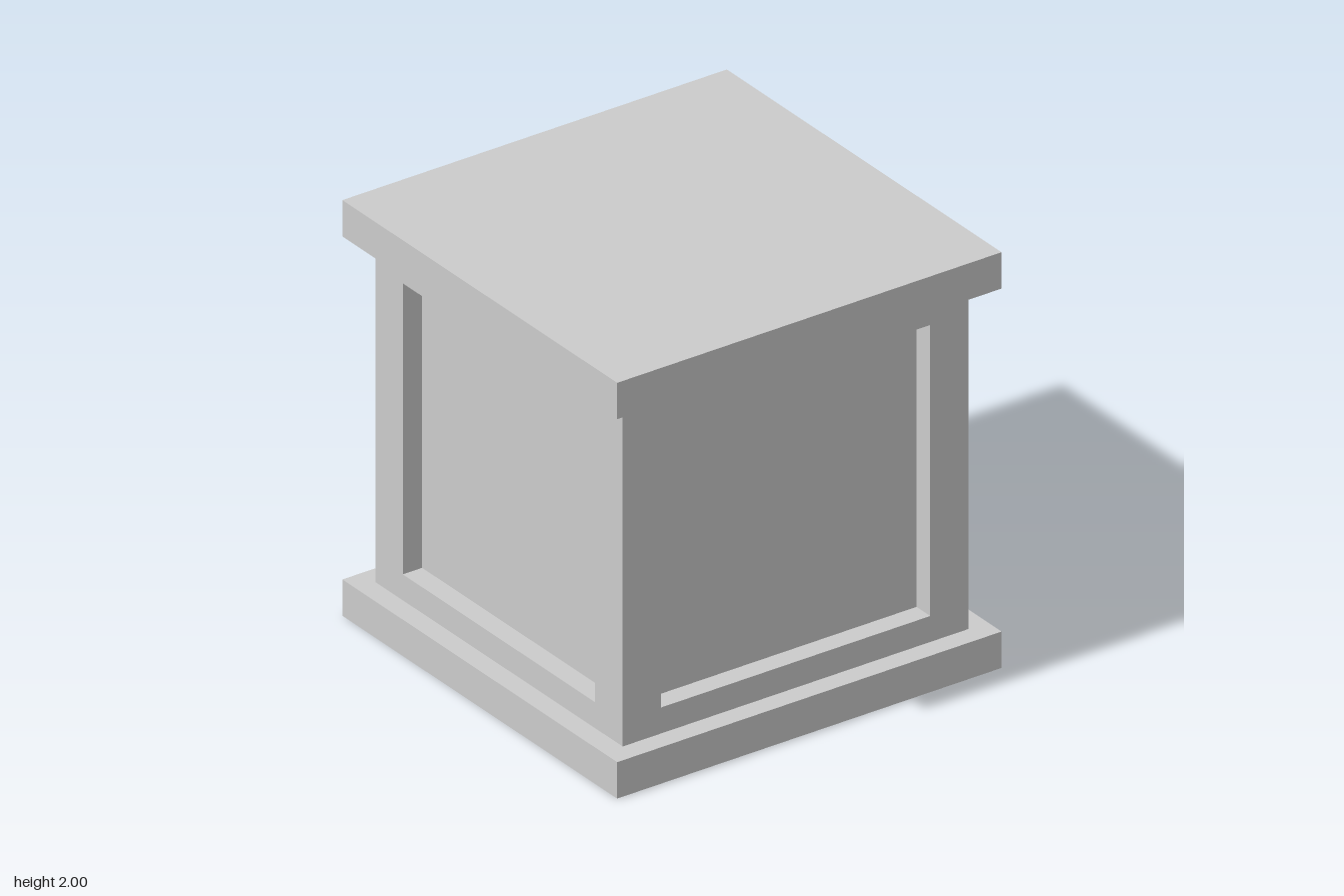
import * as THREE from 'three';

const material = new THREE.MeshStandardMaterial({ color: 0xcccccc });

const SLAB = 0.175;  // thickness of the base and top slabs
const HALF = 0.9;    // half width of the body
const OPEN = 0.7;    // half width of the recessed panels
const DEPTH = 0.1;   // depth of the recesses
const BODY = 2 - 2 * SLAB;

function addBox(parent, name, w, h, d, y) {
  const mesh = new THREE.Mesh(new THREE.BoxGeometry(w, h, d), material);
  mesh.name = name;
  mesh.position.y = y;
  parent.add(mesh);
}

// Rectangular frame with a square opening, mitred at its two sides so four meet cleanly
function frameGeometry() {
  const h = BODY / 2;
  const shape = new THREE.Shape([
    new THREE.Vector2(-HALF, -h), new THREE.Vector2(HALF, -h),
    new THREE.Vector2(HALF, h), new THREE.Vector2(-HALF, h),
  ]);
  shape.holes.push(new THREE.Path([
    new THREE.Vector2(-OPEN, -OPEN), new THREE.Vector2(-OPEN, OPEN),
    new THREE.Vector2(OPEN, OPEN), new THREE.Vector2(OPEN, -OPEN),
  ]));
  const geometry = new THREE.ExtrudeGeometry(shape, { depth: DEPTH, bevelEnabled: false });
  const p = geometry.attributes.position;
  for (let i = 0; i < p.count; i++) {
    const x = p.getX(i);
    if (Math.abs(x) > OPEN + 0.01 && p.getZ(i) < DEPTH / 2) {
      p.setX(i, Math.sign(x) * (HALF - DEPTH));
    }
  }
  geometry.translate(0, 0, HALF - DEPTH);
  geometry.computeVertexNormals();
  return geometry;
}

export function createModel() {
  const model = new THREE.Group();
  model.name = 'pedestal';

  // Slabs and the core whose faces are the recessed panels
  addBox(model, 'baseSlab', 2, SLAB, 2, SLAB / 2);
  addBox(model, 'topSlab', 2, SLAB, 2, 2 - SLAB / 2);
  const core = 2 * (HALF - DEPTH);
  addBox(model, 'panelCore', core, BODY, core, 1);

  // One frame on each side
  const geometry = frameGeometry();
  ['frontFrame', 'leftFrame', 'backFrame', 'rightFrame'].forEach((name, i) => {
    const frame = new THREE.Mesh(geometry, material);
    frame.name = name;
    frame.position.y = 1;
    frame.rotation.y = i * Math.PI / 2;
    model.add(frame);
  });

  return model;
}
